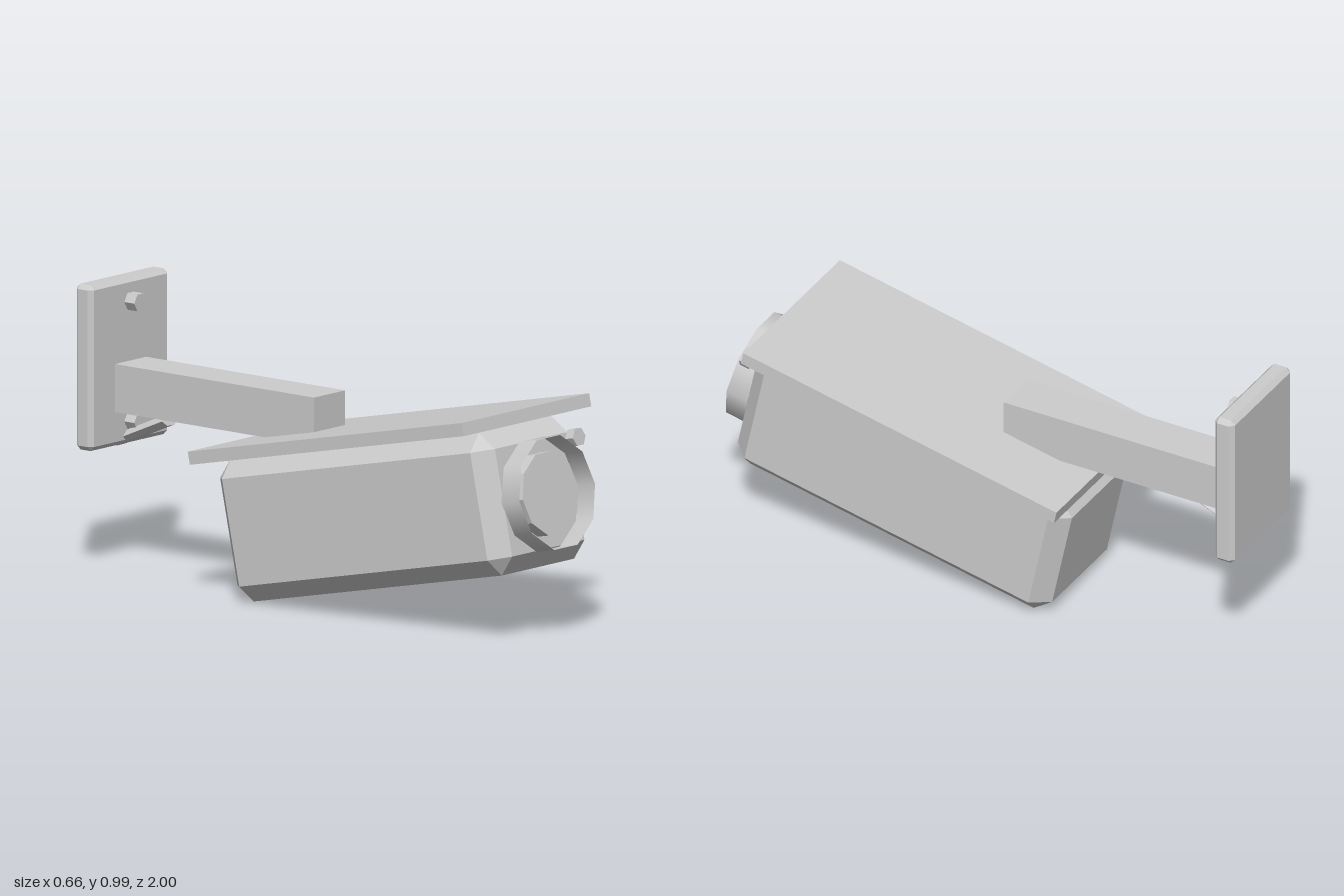
import * as THREE from 'three';
import { ConvexGeometry } from 'three/addons/geometries/ConvexGeometry.js';

const TILT = THREE.MathUtils.degToRad(12);

// Box with all edges cut off by c; one flat triangle at each corner
function chamferedBox(w, h, d, c) {
  const points = [];
  for (const sx of [-1, 1]) for (const sy of [-1, 1]) for (const sz of [-1, 1]) {
    const x = w / 2, y = h / 2, z = d / 2;
    points.push(
      new THREE.Vector3(sx * x, sy * (y - c), sz * (z - c)),
      new THREE.Vector3(sx * (x - c), sy * y, sz * (z - c)),
      new THREE.Vector3(sx * (x - c), sy * (y - c), sz * z));
  }
  return new ConvexGeometry(points);
}

// Prism along z with corners on the x axis and flat sides
function prism(radius, depth, sides) {
  const g = new THREE.CylinderGeometry(radius, radius, depth, sides, 1, false, Math.PI / 2)
    .rotateX(Math.PI / 2).toNonIndexed();
  g.computeVertexNormals();
  return g;
}

export function createModel() {
  const paint = new THREE.MeshStandardMaterial({ color: 0xcccccc });
  paint.name = 'light grey';
  const openPaint = paint.clone();
  openPaint.side = THREE.DoubleSide;

  const model = new THREE.Group();
  model.name = 'securityCamera';

  function add(parent, name, geometry, x, y, z, material = paint) {
    const mesh = new THREE.Mesh(geometry, material);
    mesh.name = name;
    mesh.position.set(x, y, z);
    parent.add(mesh);
    return mesh;
  }

  // Tilted camera head
  const head = new THREE.Group();
  head.name = 'cameraHead';
  head.rotation.x = -TILT;
  model.add(head);

  add(head, 'housing', chamferedBox(0.496, 0.488, 1.241, 0.06), 0, 0.297, 0.3455);
  add(head, 'sunShield', new THREE.BoxGeometry(0.664, 0.045, 1.237), 0, 0.5695, 0.3455);

  // Open lens rim with a raised lens inside
  const rim = new THREE.CylinderGeometry(0.197, 0.197, 0.081, 10, 1, true, Math.PI / 2).rotateX(Math.PI / 2);
  add(head, 'lensRim', rim, 0, 0.297, 1.0045, openPaint);
  add(head, 'lens', prism(0.145, 0.055, 10), 0, 0.297, 0.9875);
  add(head, 'sensor', prism(0.033, 0.034, 6), 0.187, 0.461, 1.0);

  // Wall bracket
  add(model, 'arm', new THREE.BoxGeometry(0.162, 0.165, 0.88), 0, 0.632, -0.485);
  add(model, 'wallPlate', chamferedBox(0.412, 0.57, 0.076, 0.016), 0, 0.715, -0.962);
  for (const y of [0.92, 0.51]) add(model, 'bolt', prism(0.033, 0.05, 6), 0, y, -0.905);

  // Slanted brace under the arm
  const brace = add(model, 'brace', prism(0.022, 0.243, 6), 0, 0.485, -0.864);
  brace.scale.x = 1.8;
  brace.rotation.x = -Math.atan2(0.096, 0.223);

  return model;
}
